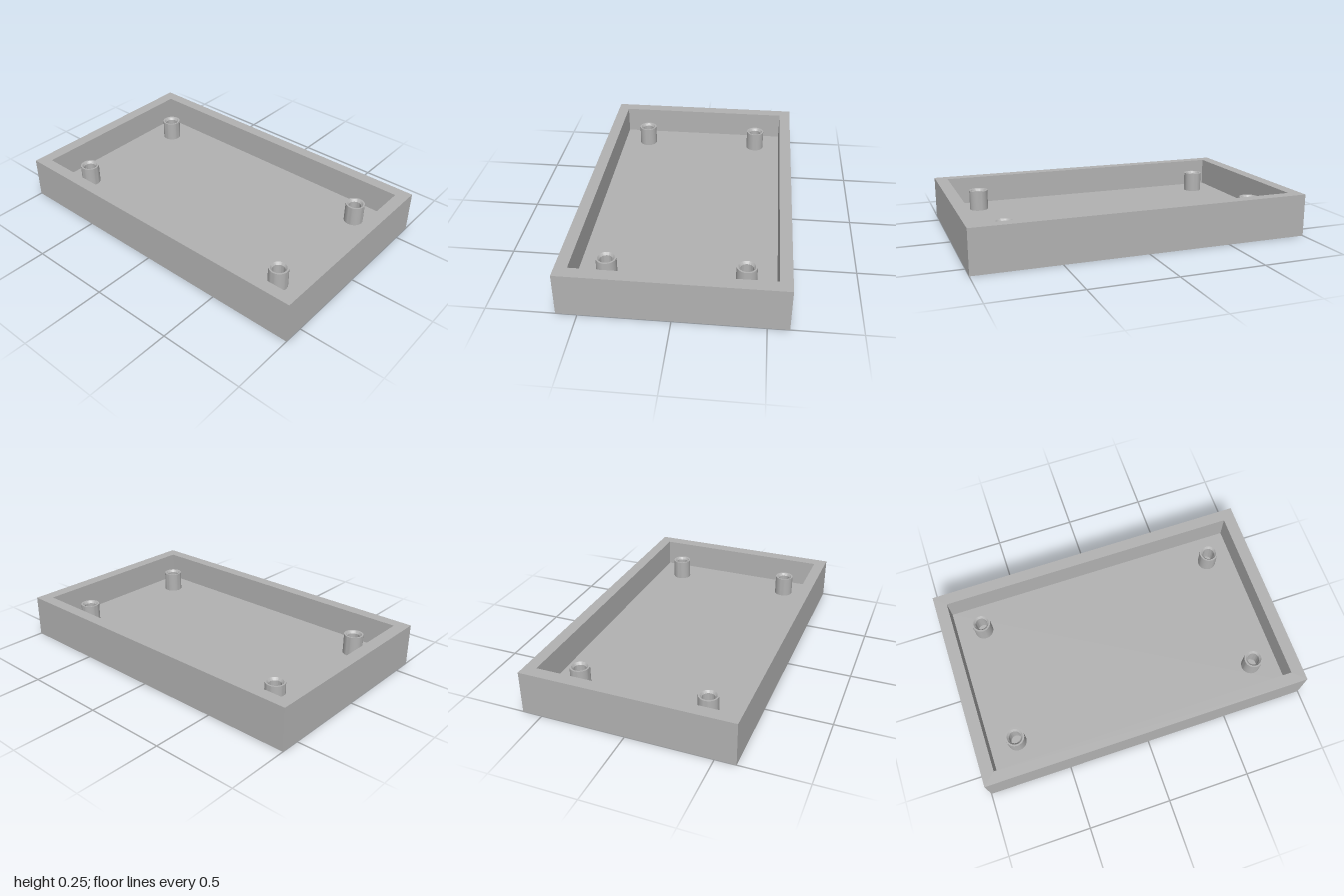
import * as THREE from 'three';
import { toCreasedNormals } from 'three/addons/utils/BufferGeometryUtils.js';

const HALF_X = 0.618, HALF_Z = 1, HEIGHT = 0.255;   // outer shell
const IN_X = 0.548, IN_Z = 0.926, FLOOR = 0.085;    // inner cavity
const BOSS_X = 0.38, BOSS_Z = 0.76, BOSS_TOP = 0.207;

function rectangle(path, x, z) {
  path.moveTo(-x, -z).lineTo(x, -z).lineTo(x, z).lineTo(-x, z).closePath();
  return path;
}

export function createModel() {
  const model = new THREE.Group();
  model.name = 'enclosureTray';
  const grey = new THREE.MeshStandardMaterial({ color: 0xb2b2b2 });
  grey.name = 'grey';

  const add = (name, geometry, x = 0, y = 0, z = 0) => {
    const mesh = new THREE.Mesh(geometry, grey);
    mesh.name = name;
    mesh.position.set(x, y, z);
    model.add(mesh);
  };

  // Rectangular frame of walls
  const outline = rectangle(new THREE.Shape(), HALF_X, HALF_Z);
  outline.holes.push(rectangle(new THREE.Path(), IN_X, IN_Z));
  const walls = new THREE.ExtrudeGeometry(outline, { depth: HEIGHT, bevelEnabled: false });
  walls.rotateX(-Math.PI / 2);
  add('walls', walls);

  // Floor slab filling the frame
  add('floor', new THREE.BoxGeometry(IN_X * 2, FLOOR, IN_Z * 2), 0, FLOOR / 2, 0);

  // Screw bosses: outer wall, rim, countersink and blind hole
  const profile = [
    [0.057, FLOOR], [0.057, BOSS_TOP], [0.047, BOSS_TOP],
    [0.036, BOSS_TOP - 0.014], [0.036, FLOOR],
  ].map(([r, y]) => new THREE.Vector2(r, y));
  const boss = toCreasedNormals(new THREE.LatheGeometry(profile, 40), 0.5);
  for (const sx of [-1, 1]) {
    for (const sz of [-1, 1]) {
      const name = (sz > 0 ? 'front' : 'back') + (sx > 0 ? 'Left' : 'Right') + 'ScrewBoss';
      add(name, boss, sx * BOSS_X, 0, sz * BOSS_Z);
    }
  }
  return model;
}
